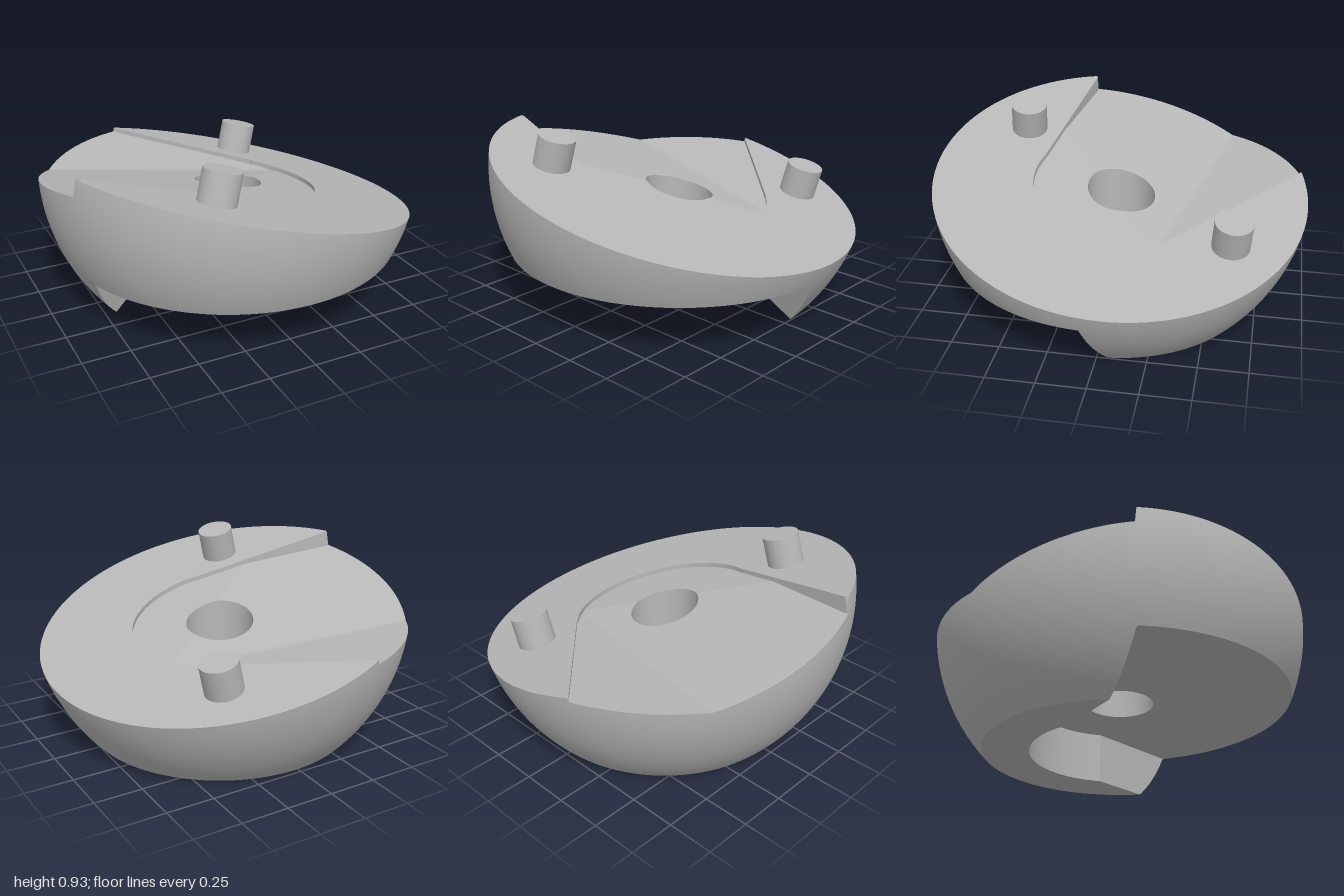
import * as THREE from 'three';

const CX = 0.022, CY = 0.69;            // centre of the spherical body, radius 1
const STEPS = 720, BORE = 0.18, CEIL = 0.28;
const rad = THREE.MathUtils.degToRad;

// Tilted top face
const topY = (x, z) => 0.613 - 0.25 * x + 0.085 * z;

// Pocket floor: a tilted plane, a ramp up to the rear edge, and a shallow helical rest
function floorY(x, z) {
  const plane = 0.04 - 0.1 * x - 0.135 * z;
  const ramp = 0.025 + 0.26 * (0.47 - ((x - CX) * 0.684 - z * 0.729));
  return topY(x, z) - Math.max(0.025, Math.min(plane, ramp));
}

// Distance to an outline made of a circle that opens between two straight walls
function outline(t, r, a, da, b, db) {
  const turn = 2 * Math.PI;
  const s = (((t - a) % turn) + turn) % turn;
  if (s > b - a) return r;
  let d = Infinity;
  for (const [n, dist] of [[a, da], [b, db]]) {
    const c = Math.cos(t - n);
    if (c > 1e-4) d = Math.min(d, dist / c);
  }
  return Math.max(r, d);
}

const sphereR = (y) => Math.sqrt(Math.max(0, 1 - (y - CY) ** 2));

// Radius where a height surface meets the sphere
function rimRadius(t, height) {
  let r = 0.95;
  for (let i = 0; i < 25; i++) r = sphereR(height(CX + r * Math.cos(t), r * Math.sin(t)));
  return r;
}

// All key radii and heights of the section at one angle
function section(t) {
  const at = (h, r) => h(CX + r * Math.cos(t), r * Math.sin(t));
  const rTop = rimRadius(t, topY), rFloor = rimRadius(t, floorY);
  const line = outline(t, 0.47, rad(100.1), 0.465, rad(313.2), 0.475);
  const open = line >= rTop;
  const p = open ? rFloor : line;
  const rim = open ? rFloor : rTop;
  const rimY = at(open ? floorY : topY, rim);
  const wallTop = open ? rimY : at(topY, p);
  // Lower recess outline
  const q = Math.min(outline(t, 0.475, rad(-61.3), 0.397, rad(223.1), 0.431), sphereR(CEIL));
  const r0 = sphereR(0);
  const footY = q > r0 ? CY - Math.sqrt(1 - q * q) : 0;
  return { at, p, rim, rimY, wallTop, q, footY, footR: Math.max(q, r0) };
}

// Sweep a profile rule (section, 0..1) -> [radius, height] around the axis
function sweep(sections, rows, rule) {
  const pos = [], idx = [];
  sections.forEach((s, i) => {
    const t = (i / STEPS) * 2 * Math.PI;
    for (let j = 0; j <= rows; j++) {
      const [r, y] = rule(s, j / rows);
      pos.push(CX + r * Math.cos(t), y, r * Math.sin(t));
    }
  });
  const w = rows + 1;
  for (let i = 0; i < STEPS; i++) {
    const n = (i + 1) % STEPS;
    for (let j = 0; j < rows; j++) {
      const a = i * w + j, b = n * w + j;
      idx.push(a, b, a + 1, b, b + 1, a + 1);
    }
  }
  const g = new THREE.BufferGeometry();
  g.setAttribute('position', new THREE.Float32BufferAttribute(pos, 3));
  g.setIndex(idx);
  g.computeVertexNormals();
  return g;
}

export function createModel() {
  const group = new THREE.Group();
  const grey = new THREE.MeshStandardMaterial({ color: 0xb8b8b8 });
  grey.name = 'plain grey';
  const add = (name, geometry) => {
    const m = new THREE.Mesh(geometry, grey);
    m.name = name;
    group.add(m);
    return m;
  };
  const mix = THREE.MathUtils.lerp;
  const sections = Array.from({ length: STEPS }, (_, i) => section((i / STEPS) * 2 * Math.PI));

  // Surfaces in order from the bore, over the top, down the shell and back underneath
  const parts = {
    bore: [1, (s, k) => [BORE, mix(CEIL, s.at(floorY, BORE), k)]],
    pocketFloor: [24, (s, k) => { const r = mix(BORE, s.p, k); return [r, s.at(floorY, r)]; }],
    pocketWall: [1, (s, k) => [s.p, mix(s.at(floorY, s.p), s.wallTop, k)]],
    topFace: [1, (s, k) => [mix(s.p, s.rim, k), mix(s.wallTop, s.rimY, k)]],
    shell: [20, (s, k) => { const y = mix(s.rimY, s.footY, k); return [sphereR(y), y]; }],
    foot: [1, (s, k) => [mix(s.footR, s.q, k), s.footY]],
    recessWall: [1, (s, k) => [s.q, mix(s.footY, CEIL, k)]],
    recessCeiling: [1, (s, k) => [mix(s.q, BORE, k), CEIL]],
  };
  for (const [name, [rows, rule]] of Object.entries(parts)) add(name, sweep(sections, rows, rule));

  // Two pins standing square to the tilted top face
  const normal = new THREE.Vector3(0.25, 1, -0.085).normalize();
  for (const [name, x, z] of [['frontPin', -0.325, 0.589], ['rearPin', 0.36, -0.611]]) {
    const pin = add(name, new THREE.CylinderGeometry(0.098, 0.098, 0.2, 48));
    pin.position.set(x, topY(x, z), z).addScaledVector(normal, 0.065);
    pin.quaternion.setFromUnitVectors(new THREE.Vector3(0, 1, 0), normal);
  }
  return group;
}
